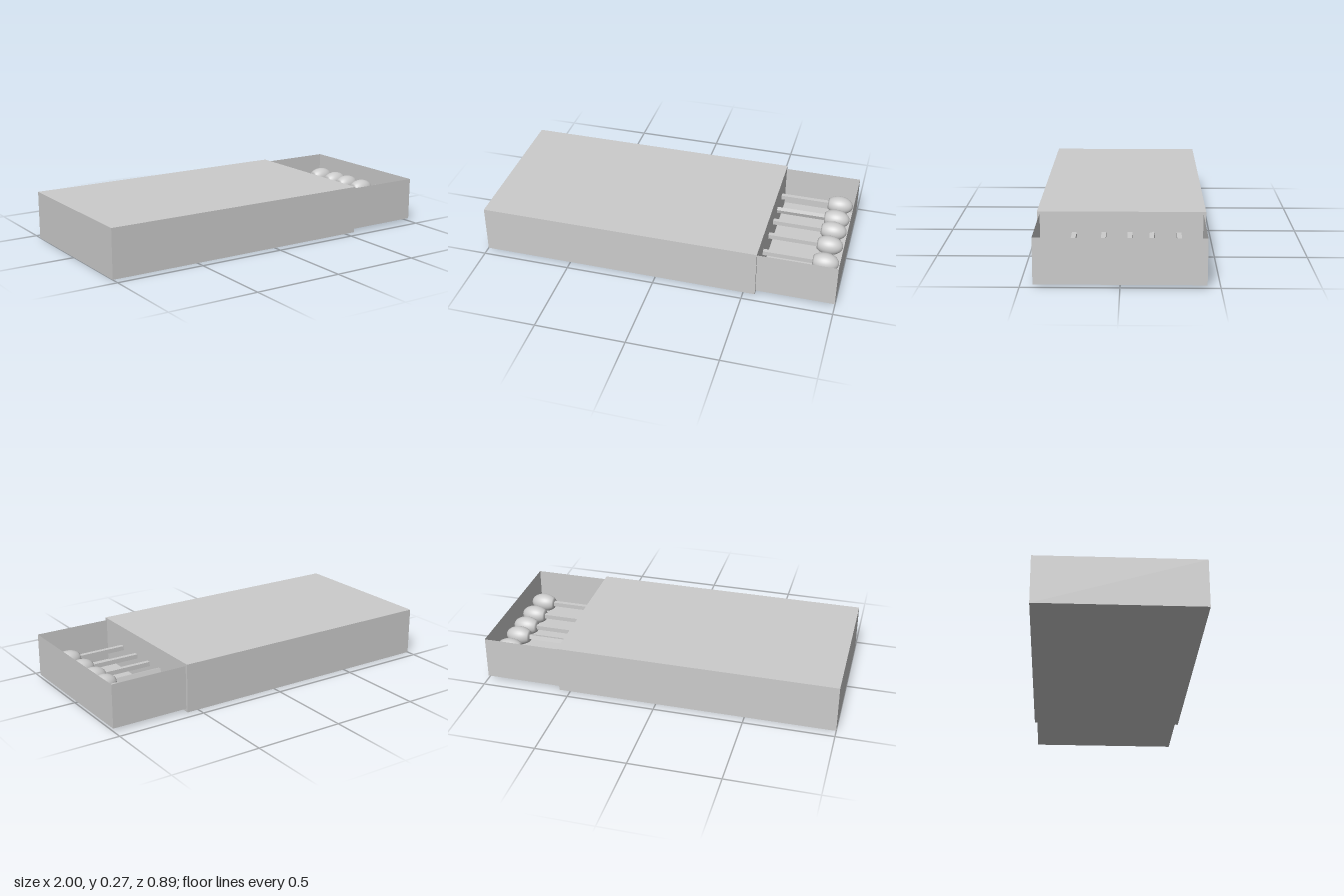
import * as THREE from 'three';

const grey = new THREE.MeshStandardMaterial({ color: 0xcccccc });
const thinGrey = new THREE.MeshStandardMaterial({ color: 0xcccccc, side: THREE.DoubleSide });

function addMesh(parent, name, geometry, material, x, y, z) {
  const mesh = new THREE.Mesh(geometry, material);
  mesh.name = name;
  mesh.position.set(x, y, z);
  parent.add(mesh);
  return mesh;
}

// Thin-walled box with its top face left out
function openBox(w, h, d) {
  const box = new THREE.BoxGeometry(w, h, d);
  const index = Array.from(box.index.array);
  index.splice(12, 6); // the +y face
  box.setIndex(index);
  box.clearGroups();
  return box;
}

// Egg-shaped head lying along +x, with a small flat end where it meets the stick
function headGeometry(length, radius) {
  const points = [new THREE.Vector2(0, -0.833 * length)];
  const start = -Math.asin(0.833);
  for (let i = 0; i <= 16; i++) {
    const a = start + (Math.PI / 2 - start) * (i / 16);
    points.push(new THREE.Vector2(Math.max(0, radius * Math.cos(a)), length * Math.sin(a)));
  }
  return new THREE.LatheGeometry(points, 32).rotateZ(-Math.PI / 2);
}

export function createModel() {
  const model = new THREE.Group();
  model.name = 'matchbox';

  // Outer sleeve
  addMesh(model, 'sleeve', new THREE.BoxGeometry(1.565, 0.27, 0.894), grey, -0.2175, 0.135, 0);

  // Tray, pulled part of the way out
  addMesh(model, 'tray', openBox(1.55, 0.242, 0.866), thinGrey, 0.225, 0.137, 0);

  // Matches: z position and roll about the stick
  const matches = [[-0.305, 0], [-0.163, 0.3], [-0.045, 0], [0.093, 0], [0.25, 0]];
  const stick = new THREE.BoxGeometry(1.3, 0.025, 0.025);
  const head = headGeometry(0.078, 0.053);
  for (const [z, roll] of matches) {
    const match = new THREE.Group();
    match.name = 'match';
    match.position.set(0, 0.145, z);
    match.rotation.x = roll;
    addMesh(match, 'matchStick', stick, grey, 0.21, 0, 0);
    addMesh(match, 'matchHead', head, grey, 0.907, 0, 0);
    model.add(match);
  }
  return model;
}
